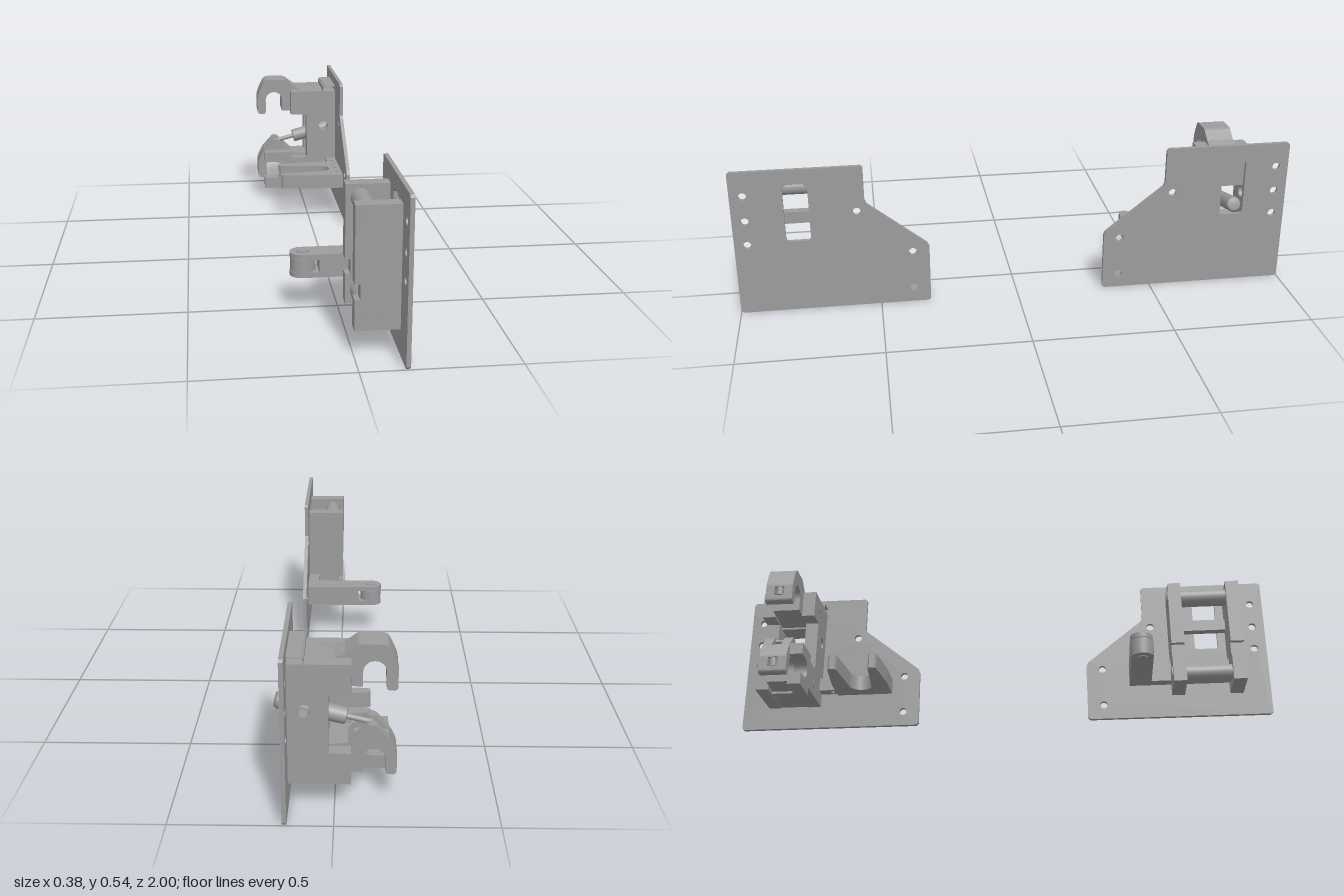
import * as THREE from 'three';

const mat = new THREE.MeshStandardMaterial({ color: 0x9c9c9c, side: THREE.DoubleSide });

export function createModel() {
  const root = new THREE.Group();

  const add = (parent, name, geo) => {
    const m = new THREE.Mesh(geo, mat);
    m.name = name;
    parent.add(m);
  };
  const group = (name) => {
    const g = new THREE.Group();
    g.name = name;
    root.add(g);
    return g;
  };
  const poly = (pts) => new THREE.Shape(pts.map(([a, b]) => new THREE.Vector2(a, b)));
  const circle = (x, y, r) => new THREE.Path().absarc(x, y, r, 0, Math.PI * 2);
  const extrude = (shape, depth) =>
    new THREE.ExtrudeGeometry(shape, { depth, bevelEnabled: false, curveSegments: 12 });
  // side profile (x, y) pulled from z0 to z1
  const alongZ = (shape, z0, z1) => extrude(shape, z1 - z0).translate(0, 0, z0);
  // plan profile (x, z) pulled from y0 to y1
  const alongY = (shape, y0, y1) => extrude(shape, y1 - y0).rotateX(Math.PI / 2).translate(0, y1, 0);
  const box = (x0, x1, y0, y1, z0, z1) =>
    new THREE.BoxGeometry(x1 - x0, y1 - y0, z1 - z0).translate((x0 + x1) / 2, (y0 + y1) / 2, (z0 + z1) / 2);
  const rodZ = (x, y, r, z0, z1) =>
    new THREE.CylinderGeometry(r, r, z1 - z0, 28).rotateX(Math.PI / 2).translate(x, y, (z0 + z1) / 2);
  const rodY = (x, z, r, y0, y1) =>
    new THREE.CylinderGeometry(r, r, y1 - y0, 28).translate(x, (y0 + y1) / 2, z);

  // Mounting plate with slot and screw holes; s mirrors it in z
  function mountingPlate(parent, s, slotZ) {
    const shape = poly([[1, 0.008], [1, 0.532], [0.992, 0.54], [0.549, 0.54], [0.541, 0.532], [0.541, 0.41],
      [0.535, 0.396], [0.327, 0.23], [0.32, 0.215], [0.32, 0.008], [0.328, 0], [0.992, 0]].map(([z, y]) => [z * s, y]));
    const holes = [[0.955, 0.265], [0.955, 0.355], [0.955, 0.45], [0.57, 0.37], [0.38, 0.2], [0.38, 0.055]];
    holes.forEach(([z, y]) => shape.holes.push(circle(z * s, y, 0.014)));
    const slot = poly([[-0.043, 0.275], [-0.038, 0.27], [0.038, 0.27], [0.043, 0.275], [0.043, 0.47],
      [0.028, 0.485], [-0.028, 0.485], [-0.043, 0.47]].map(([z, y]) => [z + slotZ, y]));
    shape.holes.push(slot);
    add(parent, 'mountingPlate', extrude(shape, 0.014).rotateY(-Math.PI / 2).translate(0.155, 0, 0));
  }

  // ---- Front half: catch bars and guide arm ----
  const striker = group('strikerSide');
  mountingPlate(striker, 1, 0.777);
  const cheek = poly([[0, 0.085], [0.141, 0.085], [0.141, 0.482], [0, 0.482], [0, 0.235],
    [0.017, 0.235], [0.017, 0.185], [0, 0.185]]);
  for (const z of [0.635, 0.85]) add(striker, 'strikerCheek', alongZ(cheek, z, z + 0.048));
  for (const y of [0.437, 0.128]) add(striker, 'catchBar', rodZ(0.047, y, 0.031, 0.631, 0.9));
  add(striker, 'crossBar', box(0.11, 0.141, 0.333, 0.376, 0.683, 0.85));
  add(striker, 'armFoot', box(0.1, 0.141, 0.128, 0.208, 0.52, 0.85));
  add(striker, 'armBeam', box(-0.068, 0.141, 0.128, 0.208, 0.48, 0.56));

  // Forked arm end holding a vertical roller
  const forkEnd = new THREE.Shape();
  forkEnd.moveTo(-0.068, 0.48);
  forkEnd.lineTo(-0.068, 0.56);
  forkEnd.lineTo(-0.122, 0.56);
  forkEnd.absarc(-0.122, 0.52, 0.04, Math.PI / 2, Math.PI * 1.5, false);
  for (const y of [0.128, 0.19]) add(striker, 'armFork', alongY(forkEnd, y, y + 0.018));
  add(striker, 'guideRoller', rodY(-0.118, 0.52, 0.042, 0.147, 0.189));
  add(striker, 'rollerPin', rodY(-0.118, 0.52, 0.02, 0.125, 0.212));

  // ---- Rear half: housing, hooks, ram and guide fork ----
  const latch = group('latchSide');
  mountingPlate(latch, -1, -0.797);
  const housing = poly([[-0.05, 0.085], [0.141, 0.085], [0.141, 0.482], [-0.05, 0.482], [-0.05, 0.382],
    [0.018, 0.382], [0.018, 0.19], [-0.05, 0.19]]);
  housing.holes.push(circle(0.09, 0.33, 0.02));
  add(latch, 'housingCheek', alongZ(housing, -0.9, -0.852));
  add(latch, 'housingCheek', alongZ(housing, -0.748, -0.7));
  add(latch, 'housingTop', box(0.055, 0.141, 0.378, 0.482, -0.852, -0.748));
  add(latch, 'housingBase', box(0, 0.141, 0.087, 0.18, -0.852, -0.748));
  for (const y of [0.44, 0.13]) add(latch, 'hookPin', rodZ(0.02, y, 0.016, -0.902, -0.698));

  // Thin folded cover on top of the housing
  add(latch, 'topCover', alongZ(poly([[0.089, 0.482], [0.089, 0.497], [0.096, 0.504], [0.141, 0.504], [0.141, 0.501],
    [0.097, 0.501], [0.092, 0.496], [0.092, 0.482]]), -0.9, -0.7));

  // Rounded tip, outer recess for the tip roller, and throat shared by both hooks
  function hookLeg(shape, tipY, throatY, recessed) {
    if (recessed) {
      shape.lineTo(-0.19, tipY + 0.06);
      shape.lineTo(-0.165, tipY + 0.06);
      shape.lineTo(-0.165, tipY + 0.025);
      shape.lineTo(-0.19, tipY + 0.025);
    }
    shape.lineTo(-0.19, tipY + 0.013);
    shape.quadraticCurveTo(-0.19, tipY, -0.178, tipY);
    shape.lineTo(-0.166, tipY);
    shape.quadraticCurveTo(-0.155, tipY, -0.155, tipY + 0.013);
    shape.lineTo(-0.155, throatY);
    shape.absarc(-0.12, throatY, 0.035, Math.PI, 0, true);
  }

  function upperHook(recessed) {
    const s = new THREE.Shape();
    s.moveTo(0.055, 0.385);
    s.lineTo(0.055, 0.48);
    s.lineTo(0, 0.482);
    s.lineTo(-0.03, 0.494);
    s.lineTo(-0.06, 0.516);
    s.quadraticCurveTo(-0.068, 0.524, -0.08, 0.525);
    s.lineTo(-0.14, 0.525);
    s.quadraticCurveTo(-0.155, 0.524, -0.163, 0.513);
    s.quadraticCurveTo(-0.19, 0.465, -0.19, 0.438);
    hookLeg(s, 0.377, 0.437, recessed);
    s.lineTo(-0.085, 0.39);
    s.lineTo(-0.05, 0.39);
    return s;
  }

  // The middle layer stops below the lug so the ram rod fits between two ears
  function lowerHook(recessed) {
    const s = new THREE.Shape();
    s.moveTo(0.06, 0.09);
    s.lineTo(0.06, 0.19);
    s.lineTo(-0.04, 0.2);
    if (recessed) {
      s.lineTo(-0.06, 0.217);
    } else {
      s.lineTo(-0.1, 0.255);
      s.quadraticCurveTo(-0.113, 0.266, -0.127, 0.255);
    }
    s.lineTo(-0.165, 0.213);
    s.quadraticCurveTo(-0.19, 0.17, -0.19, 0.153);
    hookLeg(s, 0.092, 0.145, recessed);
    s.lineTo(-0.085, 0.1);
    s.lineTo(-0.05, 0.1);
    return s;
  }

  for (const [name, hook, tipY] of [['upperHook', upperHook, 0.377], ['lowerHook', lowerHook, 0.092]]) {
    add(latch, name, alongZ(hook(false), -0.85, -0.818));
    add(latch, name, alongZ(hook(true), -0.818, -0.782));
    add(latch, name, alongZ(hook(false), -0.782, -0.75));
    add(latch, 'tipRoller', rodY(-0.178, -0.8, 0.014, tipY + 0.027, tipY + 0.058));
  }
  add(latch, 'rodPin', rodZ(-0.113, 0.245, 0.008, -0.85, -0.75));

  // Receiver jaw beside the lower hook, open to the side
  const jaw = new THREE.Shape();
  jaw.moveTo(-0.165, 0.055);
  jaw.lineTo(-0.05, 0.055);
  jaw.lineTo(-0.05, 0.215);
  jaw.lineTo(-0.165, 0.215);
  jaw.lineTo(-0.165, 0.172);
  jaw.lineTo(-0.12, 0.172);
  jaw.absarc(-0.12, 0.136, 0.036, Math.PI / 2, -Math.PI / 2, true);
  jaw.lineTo(-0.165, 0.1);
  add(latch, 'receiverJaw', alongZ(jaw, -0.748, -0.7));

  // Slanted ram passing through the plate slot
  const ram = new THREE.Group();
  ram.name = 'ram';
  ram.position.set(-0.035, 0.265, -0.797);
  ram.rotation.z = 0.25 - Math.PI / 2;
  latch.add(ram);
  add(ram, 'ramBody', new THREE.LatheGeometry([[0, 0], [0.024, 0], [0.027, 0.004], [0.027, 0.15], [0.028, 0.153],
    [0.028, 0.214], [0.023, 0.219], [0.023, 0.225], [0, 0.225]].map(([r, y]) => new THREE.Vector2(r, y)), 28));
  add(ram, 'ramRod', new THREE.CylinderGeometry(0.009, 0.009, 0.085, 16).translate(0, -0.0405, 0));

  // Horizontal guide fork with a drilled mounting rail
  const fork = new THREE.Shape();
  fork.moveTo(0.105, -0.635);
  fork.lineTo(0.105, -0.425);
  fork.lineTo(0.03, -0.425);
  fork.lineTo(-0.105, -0.44);
  fork.lineTo(-0.112, -0.447);
  fork.lineTo(-0.112, -0.466);
  fork.lineTo(-0.105, -0.472);
  fork.lineTo(0.05, -0.488);
  fork.absellipse(0.05, -0.53, 0.045, 0.042, Math.PI / 2, -Math.PI / 2, true);
  fork.lineTo(-0.105, -0.588);
  fork.lineTo(-0.112, -0.594);
  fork.lineTo(-0.112, -0.613);
  fork.lineTo(-0.105, -0.62);
  fork.lineTo(0.03, -0.635);
  add(latch, 'guideFork', alongY(fork, 0.13, 0.186));
  const rail = poly([[0.1, -0.7], [0.141, -0.7], [0.141, -0.425], [0.1, -0.425]]);
  for (const z of [-0.65, -0.593, -0.537, -0.48]) rail.holes.push(circle(0.12, z, 0.008));
  add(latch, 'forkRail', alongY(rail, 0.136, 0.186));
  add(latch, 'railBase', box(0.1, 0.141, 0.13, 0.136, -0.635, -0.425));

  return root;
}
